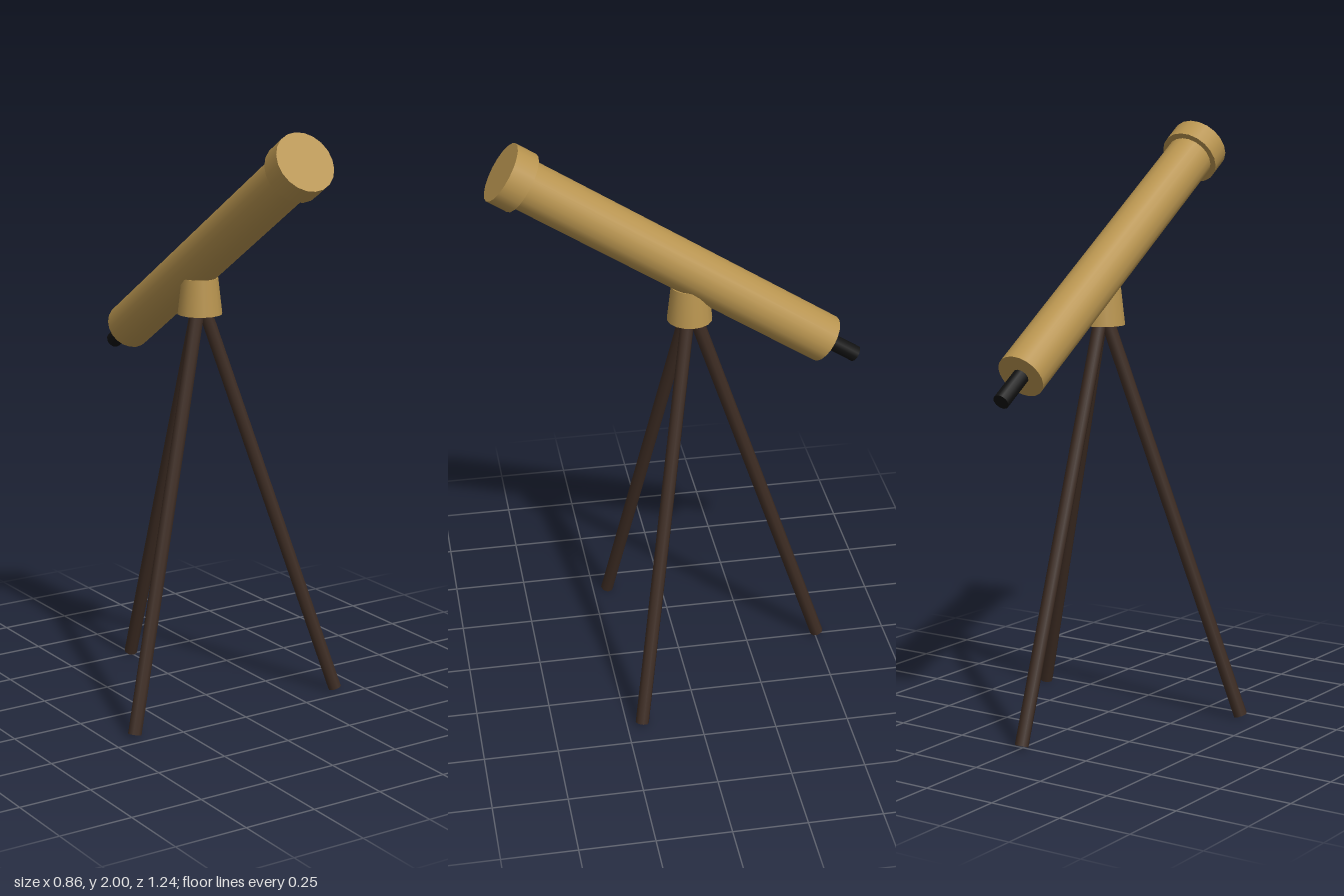
import * as THREE from 'three';

export function createModel() {
  const brass = new THREE.MeshStandardMaterial({ color: 0xb8944f });
  brass.name = 'brass';
  const wood = new THREE.MeshStandardMaterial({ color: 0x3d2c23 });
  wood.name = 'dark wood';
  const black = new THREE.MeshStandardMaterial({ color: 0x111111 });
  black.name = 'black';

  const model = new THREE.Group();
  model.name = 'telescope';

  const cylinder = (name, material, rTop, rBottom, height, sides, parent) => {
    const mesh = new THREE.Mesh(new THREE.CylinderGeometry(rTop, rBottom, height, sides), material);
    mesh.name = name;
    parent.add(mesh);
    return mesh;
  };

  // Optical assembly: built along +y, origin at the rear of the main tube, then tilted
  const optics = new THREE.Group();
  optics.name = 'opticalAssembly';
  const length = 1.27, capLength = 0.077, eyepieceLength = 0.126;
  cylinder('mainTube', brass, 0.082, 0.082, length - 0.02, 20, optics).position.y = (length - 0.02) / 2;
  cylinder('objectiveCap', brass, 0.102, 0.102, capLength, 20, optics).position.y = length - capLength / 2;
  cylinder('eyepiece', black, 0.028, 0.028, eyepieceLength + 0.04, 12, optics).position.y = (0.04 - eyepieceLength) / 2;
  optics.position.set(0, 1.22, -0.499);
  optics.rotation.x = THREE.MathUtils.degToRad(90 - 33.2);
  model.add(optics);

  // Tapered mount under the tube
  const hubZ = -0.037;
  cylinder('mount', brass, 0.062, 0.076, 0.122, 16, model).position.set(0, 1.402, hubZ);

  // Three splayed legs, one of them straight back
  const apex = new THREE.Vector3(0, 1.4, hubZ);
  const up = new THREE.Vector3(0, 1, 0);
  ['rearLeg', 'leftLeg', 'rightLeg'].forEach((name, i) => {
    const angle = Math.PI + i * Math.PI * 2 / 3 * -1;
    const foot = new THREE.Vector3(Math.sin(angle) * 0.47, 0.007, hubZ + Math.cos(angle) * 0.47);
    const axis = apex.clone().sub(foot);
    const leg = cylinder(name, wood, 0.023, 0.023, axis.length(), 8, model);
    leg.position.copy(apex).add(foot).multiplyScalar(0.5);
    leg.quaternion.setFromUnitVectors(up, axis.normalize());
  });

  return model;
}
